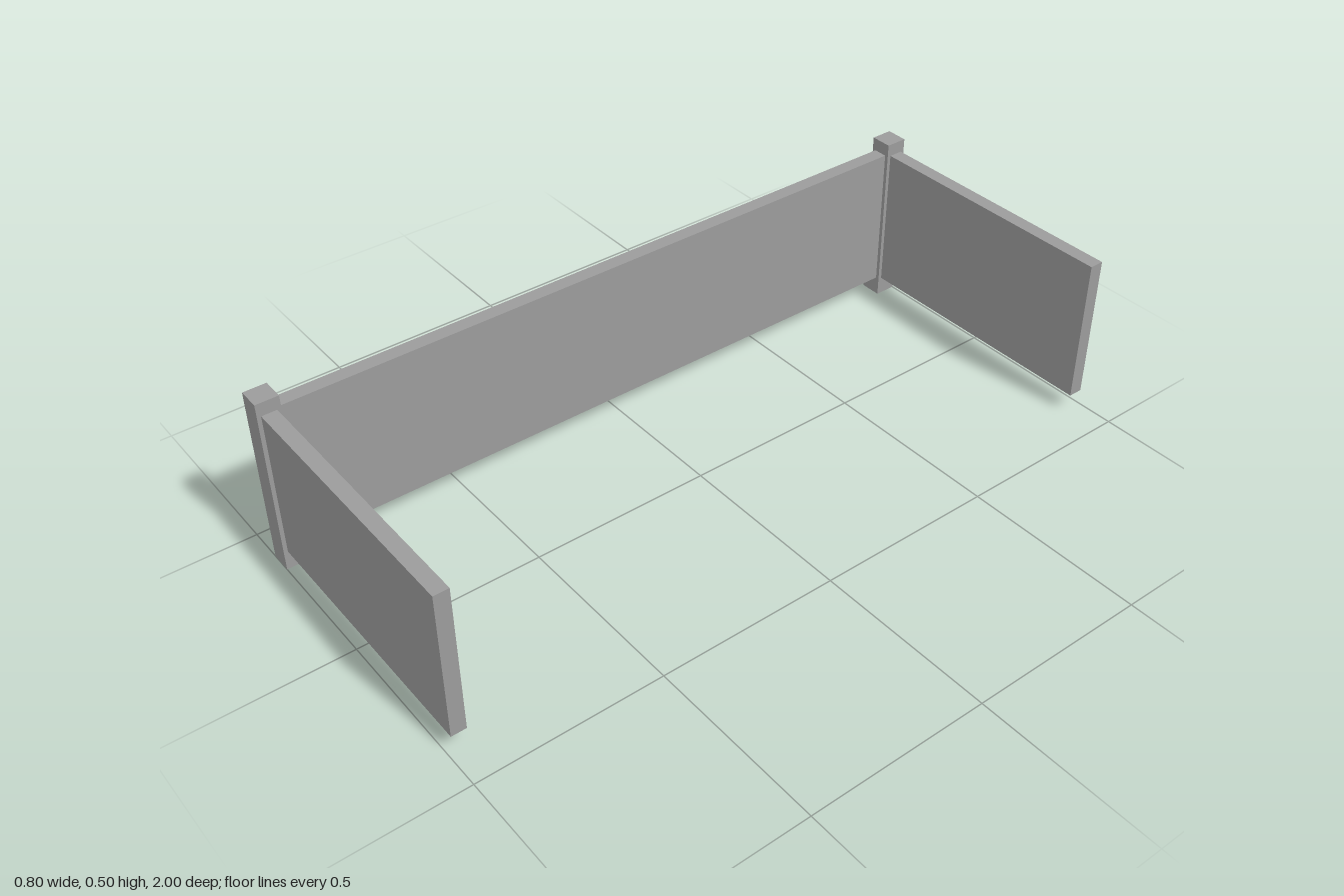
import * as THREE from 'three';

export function createModel() {
  const group = new THREE.Group();
  const material = new THREE.MeshStandardMaterial({ color: 0x9c9c9c });

  const postSize = 0.061, postHeight = 0.496, postX = -0.37, postZ = 0.9695;
  const thickness = 0.04, panelBottom = 0.052, panelHeight = 0.408;
  const inner = postX + postSize / 2, outer = 0.4005;

  // Box standing on the height y
  function box(name, w, h, d, x, y, z) {
    const mesh = new THREE.Mesh(new THREE.BoxGeometry(w, h, d), material);
    mesh.name = name;
    mesh.position.set(x, y + h / 2, z);
    group.add(mesh);
  }

  // Corner posts, each with a side panel reaching out from it
  for (const [side, s] of [['front', 1], ['back', -1]]) {
    box(side + 'Post', postSize, postHeight, postSize, postX, 0, s * postZ);
    box(side + 'Panel', outer - inner, panelHeight, thickness,
      (inner + outer) / 2, panelBottom, s * postZ);
  }

  // Long panel between the posts
  box('longPanel', thickness, panelHeight, 2 * postZ - postSize, postX, panelBottom, 0);

  return group;
}
